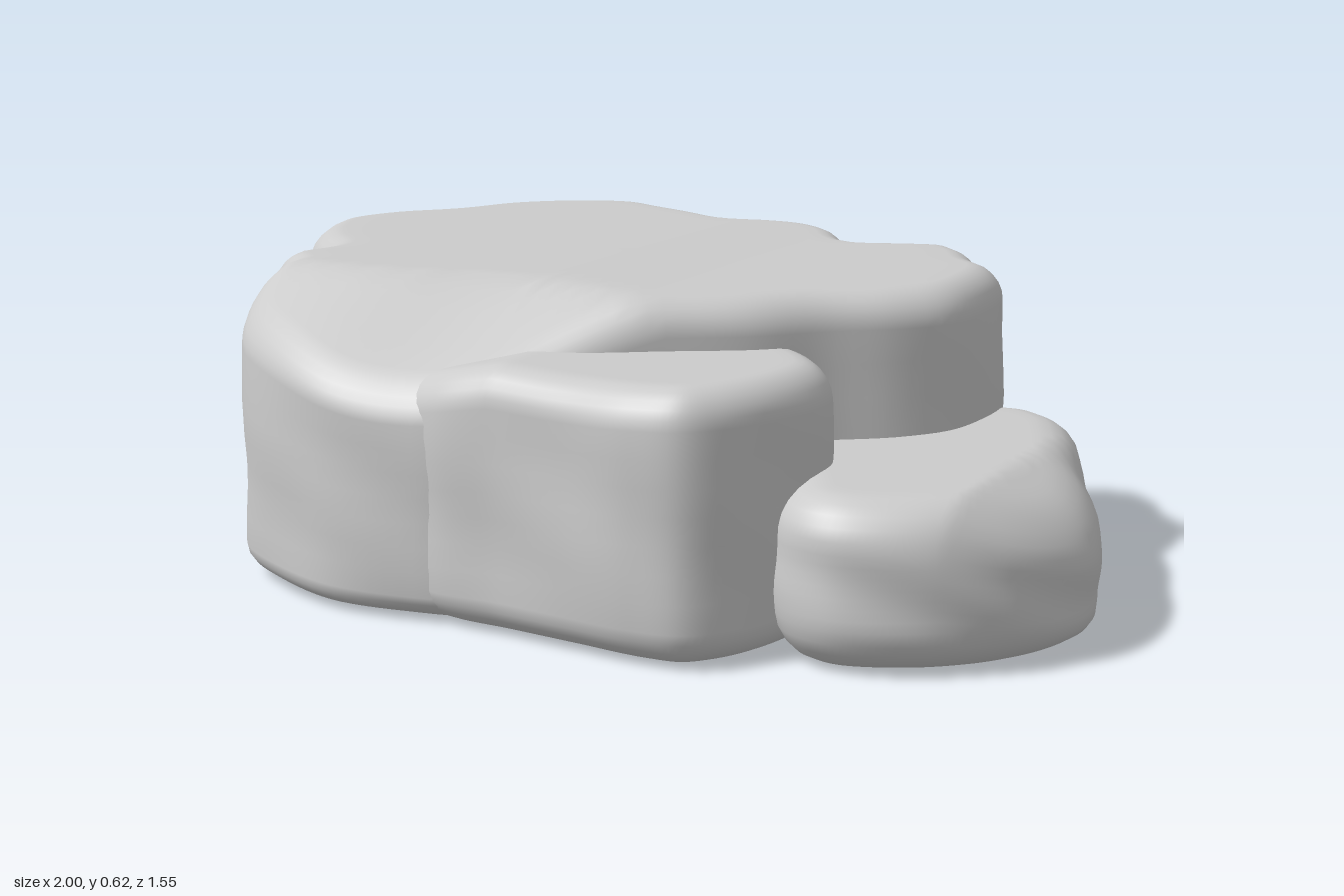
import * as THREE from 'three';

const material = new THREE.MeshStandardMaterial({ color: 0xcccccc, roughness: 0.9 });
const SEGMENTS = 160;

// Lofts a closed [x, z] outline into a solid stone with softly rounded rims.
// cap(x, z) gives the height of the top surface.
function stone(name, outline, center, height, round, cap) {
  const curve = new THREE.CatmullRomCurve3(
    outline.map(([x, z]) => new THREE.Vector3(x, 0, z)), true, 'centripetal');
  const edge = curve.getSpacedPoints(SEGMENTS).slice(0, SEGMENTS);
  const normals = edge.map((p, i) => {
    const a = edge[(i + SEGMENTS - 3) % SEGMENTS], b = edge[(i + 3) % SEGMENTS];
    return new THREE.Vector2(b.z - a.z, a.x - b.x).normalize();
  });

  // Rings: [inset from outline, height fraction, pull toward centre]
  const rings = [[round, 0.015, 1], [round, 0.015, 0.5]];
  const low = round * 0.9;
  for (let k = 0; k <= 5; k++) {
    const a = (k / 5) * Math.PI / 2;
    rings.push([round * (1 - Math.sin(a)), 0.015 + low * (1 - Math.cos(a)) / height, 0]);
  }
  for (let k = 1; k <= 6; k++) {
    rings.push([0, THREE.MathUtils.lerp(0.015 + low / height, 1 - round / height, k / 7), 0]);
  }
  for (let k = 0; k <= 6; k++) {
    const a = (k / 6) * Math.PI / 2;
    rings.push([round * (1 - Math.cos(a)), 1 - round * (1 - Math.sin(a)) / height, 0]);
  }
  for (let k = 1; k <= 12; k++) rings.push([round, 1, k / 12]);

  const positions = [], index = [];
  rings.forEach(([inset, level, pull], j) => {
    edge.forEach((p, i) => {
      // Gentle weathering on the walls only
      const wall = Math.sin(Math.PI * level) * (pull ? 0 : 1);
      const dent = wall * 0.008 * Math.sin(p.x * 13 + level * 5) * Math.cos(p.z * 11 - level * 6);
      const d = inset + dent;
      const x = THREE.MathUtils.lerp(p.x - normals[i].x * d, center[0], pull);
      const z = THREE.MathUtils.lerp(p.z - normals[i].y * d, center[1], pull);
      positions.push(x, level * cap(x, z), z);
      if (j < rings.length - 1) {
        const n = (i + 1) % SEGMENTS, r = j * SEGMENTS, s = r + SEGMENTS;
        index.push(r + i, s + i, r + n, r + n, s + i, s + n);
      }
    });
  });
  const geometry = new THREE.BufferGeometry();
  geometry.setAttribute('position', new THREE.Float32BufferAttribute(positions, 3));
  geometry.setIndex(index);
  geometry.computeVertexNormals();
  const mesh = new THREE.Mesh(geometry, material);
  mesh.name = name;
  return mesh;
}

export function createModel() {
  const group = new THREE.Group();
  group.name = 'steppedRock';

  // Tall plateau with a lobed back and a worn slope along the front
  group.add(stone('plateau', [
    [-1, -0.22], [-0.95, -0.37], [-0.85, -0.48], [-0.78, -0.62], [-0.65, -0.73],
    [-0.5, -0.775], [-0.38, -0.73], [-0.28, -0.69], [-0.19, -0.65], [-0.1, -0.675],
    [0, -0.675], [0.1, -0.62], [0.2, -0.49], [0.29, -0.53], [0.39, -0.55],
    [0.47, -0.49], [0.53, -0.39], [0.6, -0.31], [0.63, -0.15], [0.62, 0],
    [0.55, 0.1], [0.43, 0.2], [0.33, 0.31], [0.17, 0.43], [0.02, 0.56],
    [-0.1, 0.68], [-0.22, 0.71], [-0.4, 0.715], [-0.58, 0.64], [-0.7, 0.55],
    [-0.75, 0.43], [-0.74, 0.36], [-0.8, 0.28], [-0.78, 0.16], [-0.87, 0.06],
    [-0.95, -0.06],
  ], [-0.18, -0.08], 0.62, 0.075, (x, z) => {
    const slope = Math.max(0, z - 0.38 - 0.03 * Math.sin(x * 9));
    return 0.62 - 0.5 * slope + 0.006 * Math.cos(x * 3 + 1.6);
  }));

  // Mid-height ledge at the front
  group.add(stone('frontLedge', [
    [-0.3, 0.45], [-0.1, 0.2], [0.2, 0.1], [0.42, 0.22], [0.51, 0.34],
    [0.53, 0.46], [0.51, 0.6], [0.46, 0.7], [0.4, 0.755], [0.3, 0.765],
    [0.15, 0.745], [0, 0.725], [-0.15, 0.705], [-0.27, 0.64],
  ], [0.15, 0.45], 0.52, 0.075,
  (x, z) => 0.52 - 0.25 * Math.max(0, -0.02 - x) + 0.006 * Math.sin(x * 8 + z * 5)));

  // Low step on the left side, falling away toward its outer rim
  group.add(stone('lowStep', [
    [0.42, -0.2], [0.53, -0.3], [0.62, -0.335], [0.7, -0.325], [0.79, -0.25],
    [0.85, -0.13], [0.9, -0.01], [0.96, 0.09], [1, 0.23], [0.98, 0.36],
    [0.92, 0.48], [0.8, 0.59], [0.64, 0.65], [0.54, 0.62], [0.46, 0.5],
    [0.35, 0.3], [0.35, 0],
  ], [0.65, 0.18], 0.32, 0.095, (x) => 0.325 - 0.5 * Math.max(0, x - 0.83)));

  return group;
}
